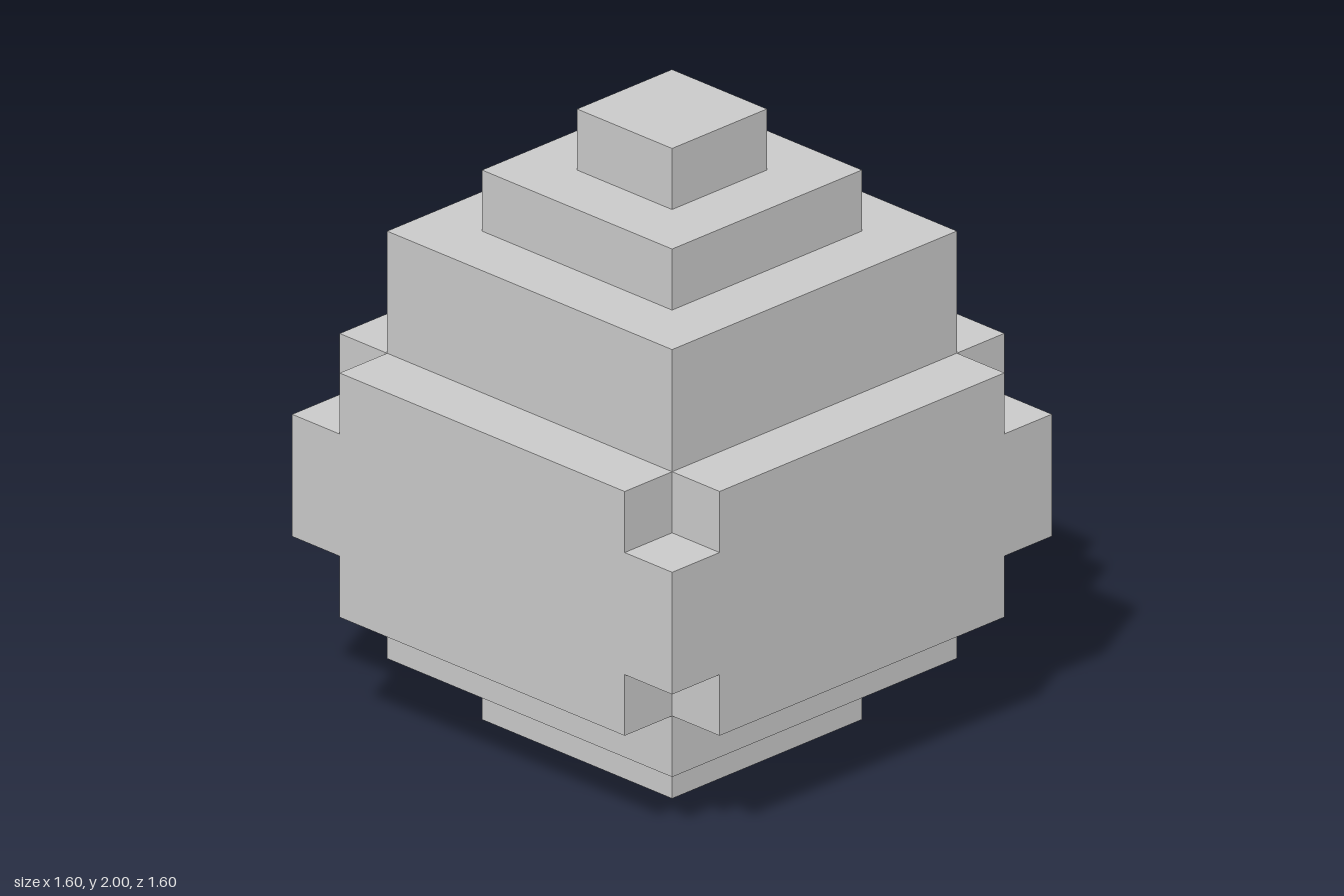
import * as THREE from 'three';

export function createModel() {
  const model = new THREE.Group();
  model.name = 'steppedEgg';
  const material = new THREE.MeshStandardMaterial({ color: 0xcccccc, flatShading: true });

  // Square-cornered block standing on height y0 and reaching y1
  function block(name, width, depth, y0, y1, x = 0, z = 0) {
    const mesh = new THREE.Mesh(new THREE.BoxGeometry(width, y1 - y0, depth), material);
    mesh.name = name;
    mesh.position.set(x, (y0 + y1) / 2, z);
    model.add(mesh);
  }

  // Central stack, from the foot to the tip
  block('base', 0.8, 0.8, 0, 0.2);
  block('core', 1.2, 1.2, 0.2, 1.6);
  block('upperStep', 0.8, 0.8, 1.6, 1.8);
  block('tip', 0.4, 0.4, 1.8, 2);

  // Side panels around the belly, and shorter posts filling its corners
  for (const s of [1, -1]) {
    block(s > 0 ? 'frontPanel' : 'backPanel', 1.2, 0.2, 0.4, 1.2, 0, s * 0.7);
    block(s > 0 ? 'leftPanel' : 'rightPanel', 0.2, 1.2, 0.4, 1.2, s * 0.7, 0);
    for (const t of [1, -1]) {
      const name = (t > 0 ? 'front' : 'back') + (s > 0 ? 'Left' : 'Right') + 'CornerPost';
      block(name, 0.2, 0.2, 0.6, 1, s * 0.7, t * 0.7);
    }
  }
  return model;
}
